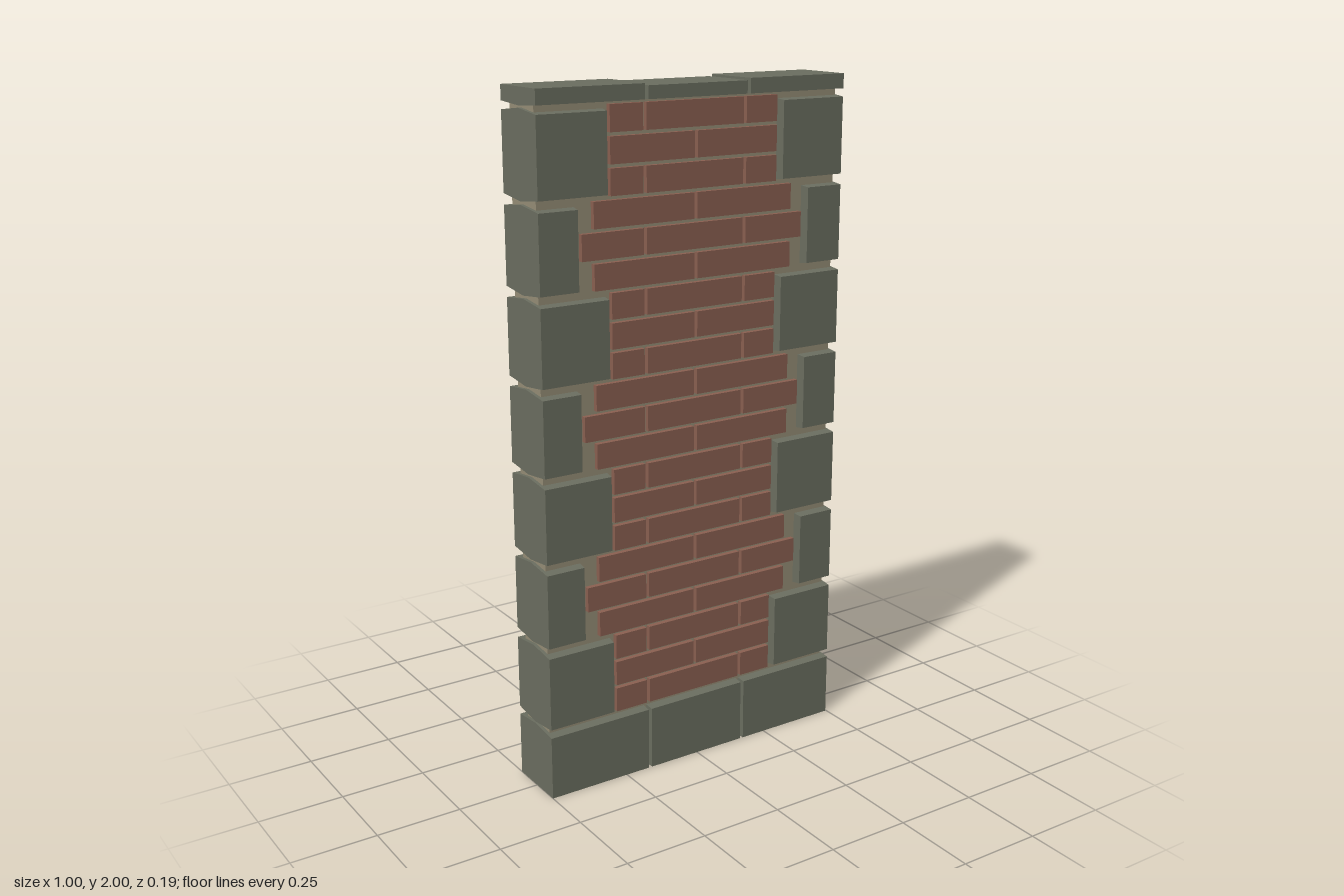
import * as THREE from 'three';

const mat = (name, color) => {
  const m = new THREE.MeshStandardMaterial({ color, flatShading: true });
  m.name = name;
  return m;
};

export function createModel() {
  const stone = mat('greyStone', 0x6b6e60);
  const brick = mat('redBrick', 0x8b6051);
  const mortar = mat('mortar', 0x958d76);
  const wall = new THREE.Group();
  wall.name = 'brickWallPanel';

  const group = (name) => {
    const g = new THREE.Group();
    g.name = name;
    wall.add(g);
    return g;
  };

  const box = (parent, name, material, x0, x1, y0, y1, depth) => {
    const mesh = new THREE.Mesh(new THREE.BoxGeometry(x1 - x0, y1 - y0, depth, 1, 1, 2), material);
    mesh.position.set((x0 + x1) / 2, (y0 + y1) / 2, 0);
    mesh.name = name;
    parent.add(mesh);
    return mesh;
  };

  // Stone whose joint sides swell toward the middle of the wall, leaving V-shaped grooves
  const block = (parent, name, x0, x1, y0, y1, { left = 0, right = 0, down = 0, up = 0 }) => {
    const mesh = box(parent, name, stone, x0, x1, y0, y1, 0.188);
    const p = mesh.geometry.attributes.position;
    for (let i = 0; i < p.count; i++) {
      if (Math.abs(p.getZ(i)) > 0.01) continue;
      p.setX(i, p.getX(i) + (p.getX(i) < 0 ? -left : right));
      p.setY(i, p.getY(i) + (p.getY(i) < 0 ? -down : up));
    }
    mesh.geometry.computeVertexNormals();
    return mesh;
  };

  // Mortar core
  box(wall, 'mortarCore', mortar, -0.49, 0.49, 0.1, 1.97, 0.13);

  // Base and cap, three stones each
  const base = group('baseStones');
  const cap = group('capStones');
  [[-0.5, -0.173], [-0.162, 0.16], [0.171, 0.497]].forEach(([x0, x1], i) => {
    const left = i > 0 ? 0.005 : 0;
    const right = i < 2 ? 0.005 : 0;
    block(base, 'baseStone', x0, x1, 0, 0.19, { left, right, up: 0.01 });
    block(cap, 'capStone', x0, x1, 1.958, i === 1 ? 1.994 : 2, { left, right, down: 0.006 });
  });

  // Corner stones, alternating wide and narrow
  const quoins = group('cornerStones');
  for (let i = 0; i < 7; i++) {
    const inner = i % 2 ? 0.382 : 0.29;
    const y0 = 0.216 + i * 0.25;
    const y1 = y0 + 0.219;
    block(quoins, 'leftCornerStone', inner - 0.004, 0.496, y0, y1, { left: 0.01, down: 0.011, up: 0.011 });
    block(quoins, 'rightCornerStone', -0.5, -inner, y0, y1, { right: 0.01, down: 0.011, up: 0.011 });
  }

  // Running-bond bricks, each course running through the wall
  const bricks = group('bricks');
  const reach = [0.273, 0.273, 0.273, 0.326, 0.364, 0.326];
  const gap = 0.005;
  for (let row = 0; row < 21; row++) {
    const end = reach[row % 6];
    const edges = row % 2 ? [-end, 0, end] : [-end, -0.165, 0.163, end];
    const y0 = 0.207 + row * 0.0835;
    for (let k = 0; k < edges.length - 1; k++) {
      const x0 = edges[k] + (k > 0 ? gap : 0);
      const x1 = edges[k + 1] - (k < edges.length - 2 ? gap : 0);
      box(bricks, 'brick', brick, x0, x1, y0, y0 + 0.073, 0.16);
    }
  }
  return wall;
}
